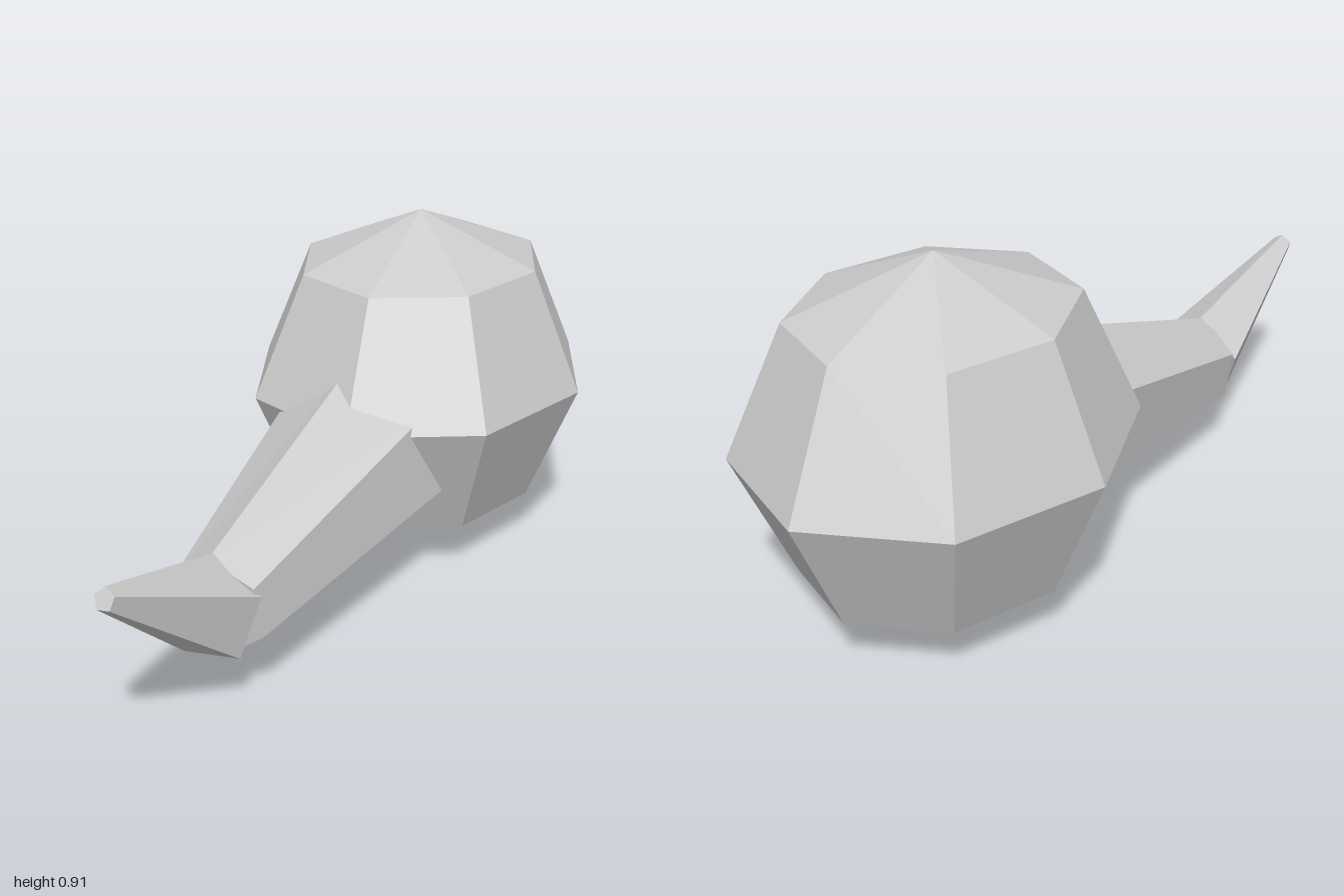
import * as THREE from 'three';

// Ring of corners around (x, y, z), counter-clockwise seen from +z; the ring's
// plane leans by tiltX and tiltY (change of z along x and y).
function ring(sides, x, y, z, radius, startDeg, tiltX = 0, tiltY = 0) {
  return Array.from({ length: sides }, (_, i) => {
    const a = THREE.MathUtils.degToRad(startDeg + (i * 360) / sides);
    const dx = radius * Math.cos(a), dy = radius * Math.sin(a);
    return new THREE.Vector3(x + dx, y + dy, z + tiltX * dx + tiltY * dy);
  });
}

// Capped tapering segment between a back ring and a front ring
function segment(back, front) {
  const n = back.length, points = [...back, ...front], index = [];
  for (let i = 0; i < n; i++) {
    const j = (i + 1) % n;
    index.push(i, j, n + j, i, n + j, n + i);
  }
  for (let i = 1; i < n - 1; i++) {
    index.push(0, i + 1, i, n, n + i, n + i + 1);
  }
  const geometry = new THREE.BufferGeometry().setFromPoints(points);
  geometry.setIndex(index);
  const flat = geometry.toNonIndexed();
  flat.computeVertexNormals();
  return flat;
}

export function createModel() {
  const group = new THREE.Group();
  const grey = new THREE.MeshStandardMaterial({ color: 0xcccccc, flatShading: true });
  grey.name = 'light grey';

  const add = (name, geometry) => {
    const mesh = new THREE.Mesh(geometry, grey);
    mesh.name = name;
    group.add(mesh);
  };

  // Faceted round body, slightly longer from front to back
  const body = new THREE.SphereGeometry(1, 8, 4);
  body.scale(0.453, 0.453, 0.52);
  body.translate(0, 0.455, -0.48);
  add('body', body);

  // Thick six-sided lower part of the tail, rooted inside the body
  add('tailBase', segment(
    ring(6, -0.015, 0.375, -0.2, 0.245, 96),
    ring(6, -0.092, 0.232, 0.576, 0.128, 97, 0.1, 0.1)
  ));

  // Five-sided tip bending upward
  add('tailTip', segment(
    ring(5, -0.092, 0.237, 0.593, 0.124, 95, 0.04, -0.36),
    ring(5, -0.137, 0.455, 0.99, 0.026, 95, 0.04, -0.45)
  ));

  return group;
}
